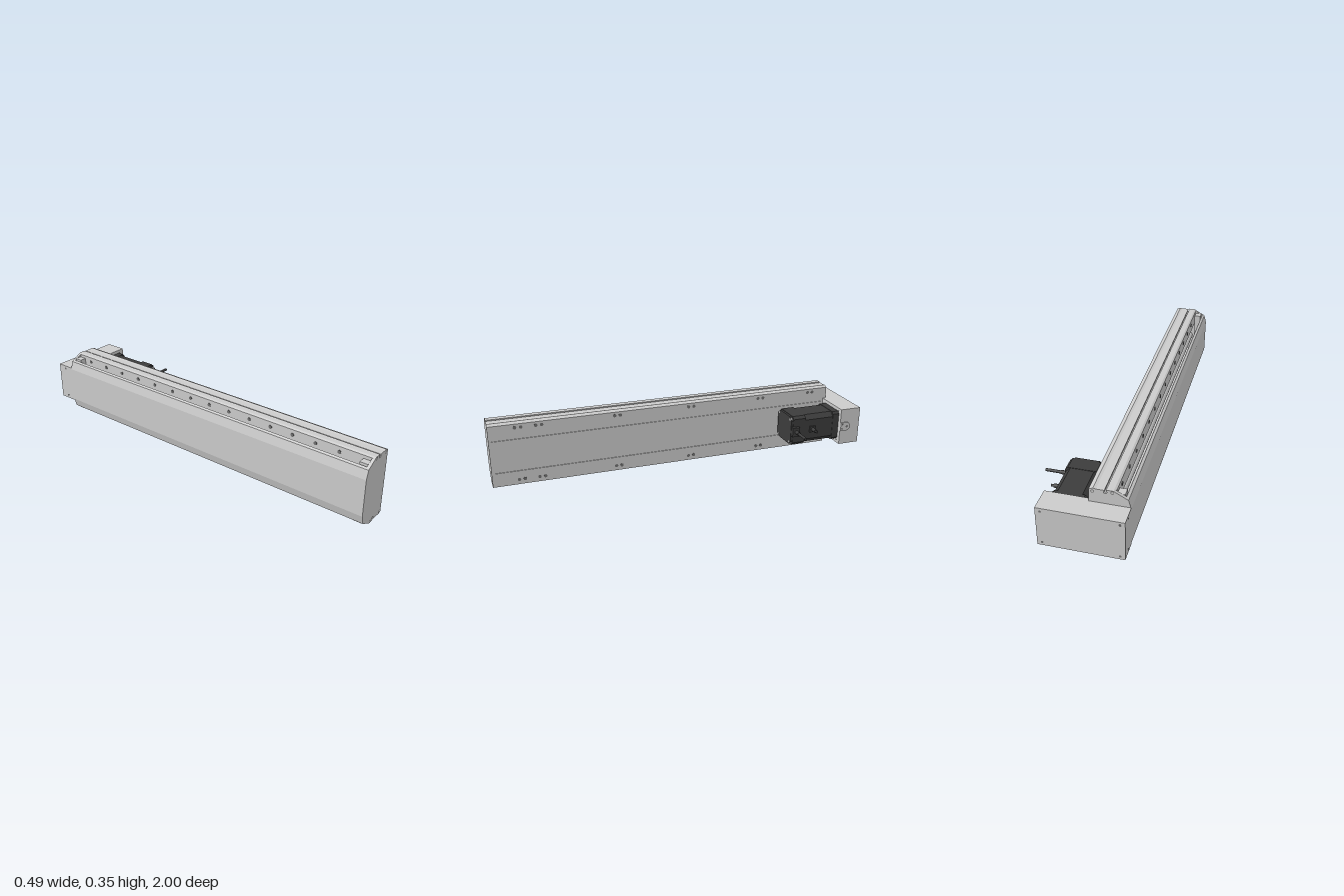
import * as THREE from 'three';

const H = 0.35; // profile height
const grey = new THREE.MeshStandardMaterial({ color: 0xcccccc });
const black = new THREE.MeshStandardMaterial({ color: 0x3c3c3c });
const bore = new THREE.MeshStandardMaterial({ color: 0x707070 });

export function createModel() {
  const model = new THREE.Group();

  const add = (name, geometry, material = grey) => {
    const mesh = new THREE.Mesh(geometry, material);
    mesh.name = name;
    model.add(mesh);
    return mesh;
  };
  // Box given by its minimum and maximum corners
  const box = (name, x0, x1, y0, y1, z0, z1, material) => {
    const m = add(name, new THREE.BoxGeometry(x1 - x0, y1 - y0, z1 - z0), material);
    m.position.set((x0 + x1) / 2, (y0 + y1) / 2, (z0 + z1) / 2);
    return m;
  };
  // Upper half outline plus its mirror image about mid height
  const mirrored = (half) => [...half, ...half.map(([x, y]) => [x, H - y]).reverse()];
  const outline = (pts) => new THREE.Shape(pts.map(([x, y]) => new THREE.Vector2(x, y)));
  const extrude = (name, shape, z0, z1, material) => {
    const g = new THREE.ExtrudeGeometry(shape, { depth: z1 - z0, bevelEnabled: false, curveSegments: 8 });
    g.translate(0, 0, z0);
    return add(name, g, material);
  };
  // Cylinder between two x values or two z values
  const rodX = (name, r, x0, x1, y, z, material, sides = 16) => {
    const m = add(name, new THREE.CylinderGeometry(r, r, x1 - x0, sides), material);
    m.rotation.z = Math.PI / 2;
    m.position.set((x0 + x1) / 2, y, z);
    return m;
  };
  const rodZ = (name, r, x, y, z0, z1, material, sides = 16) => {
    const m = add(name, new THREE.CylinderGeometry(r, r, z1 - z0, sides), material);
    m.rotation.x = Math.PI / 2;
    m.position.set(x, y, (z0 + z1) / 2);
    return m;
  };

  // Round sensor groove shared by the rail and its end caps
  const groove = [[-0.13, 0.347], [-0.13, 0.343], [-0.126, 0.338], [-0.128, 0.333], [-0.134, 0.331],
    [-0.14, 0.333], [-0.142, 0.338], [-0.138, 0.343], [-0.138, 0.35]];
  const shoulder = [[-0.06, 0.341], [-0.08, 0.35], [-0.092, 0.347]];

  // Channel rail, open towards -x
  extrude('railBody', outline(mirrored([
    [-0.06, 0.259], [-0.064, 0.259], [-0.064, 0.266], [-0.06, 0.266],
    ...shoulder, ...groove, [-0.17, 0.35], [-0.18, 0.345], [-0.18, 0.27], [-0.1, 0.27],
  ])), -0.885, 0.99);

  // Cover over the open side, leaving a slot above and below
  extrude('coverPlate', outline(mirrored([
    [-0.22, 0.318], [-0.223, 0.321], [-0.235, 0.315], [-0.247, 0.27],
  ].reverse())), -0.885, 0.99);

  // End caps with screw holes
  const capHoles = [[-0.165, 0.34], [-0.077, 0.333]];
  const capShape = () => outline(mirrored([
    ...shoulder, ...groove, [-0.17, 0.35], [-0.235, 0.315], [-0.247, 0.27],
  ]));
  for (const [z0, z1, outer, dir] of [[0.985, 1, 1, 1], [-0.9, -0.885, -0.9, -1]]) {
    extrude('endCap', capShape(), z0, z1);
    for (const [x, y] of capHoles) for (const yy of [y, H - y]) {
      const ring = add('capScrewRim', new THREE.RingGeometry(0.005, 0.0085, 16), bore);
      ring.position.set(x, yy, outer + dir * 0.0006);
      if (dir < 0) ring.rotation.y = Math.PI;
    }
  }

  // Stop blocks in the slot, ball screw behind the cover
  for (const [z0, z1] of [[-0.885, -0.845], [0.945, 0.985]])
    box('stopBlock', -0.217, -0.182, 0.02, 0.33, z0, z1);
  rodZ('ballScrew', 0.022, -0.145, H / 2, -0.885, 0.985);

  // Linear guide bolts along the slot walls
  for (let z = -0.8; z < 0.95; z += 0.125)
    for (const y of [0.318, H - 0.318]) rodX('guideBolt', 0.009, -0.183, -0.179, y, z, bore, 12);

  // Mounting holes on the flat face
  for (const z of [0.85, 0.745, 0.335, -0.075, -0.485, -0.795])
    for (const y of [0.322, 0.035]) {
      rodX('mountingHole', 0.009, -0.061, -0.0594, y, z + 0.015, bore);
      rodX('mountingHole', 0.009, -0.061, -0.0594, y, z - 0.015, bore);
    }

  // Belt housing joining rail and motor
  box('beltHousingRailSide', -0.247, -0.06, 0.073, 0.277, -1, -0.9);
  box('beltHousingMotorSide', -0.06, 0.148, 0.073, 0.277, -1, -0.882);
  for (const y of [0.09, 0.26]) {
    for (const x of [-0.225, 0.125]) rodZ('housingScrew', 0.006, x, y, -1.0006, -0.998, bore);
    rodZ('housingScrew', 0.004, 0.118, y, -0.883, -0.8814, bore);
    rodX('housingScrew', 0.006, -0.2476, -0.246, y, -0.95, bore);
  }

  // Rounded tension tab on the housing side
  rodX('tensionTab', 0.024, 0.147, 0.155, 0.177, -0.917, grey, 24);
  box('tensionTabBase', 0.147, 0.155, 0.153, 0.201, -0.917, -0.882);
  rodX('tabHole', 0.007, 0.154, 0.1556, 0.177, -0.92, bore);
  for (const y of [0.165, 0.189]) rodX('tabHole', 0.004, 0.154, 0.1556, y, -0.893, bore);

  // Motor: square stack with clipped corners and stepped sections
  const cx = 0.043, cy = 0.177;
  const clipped = (h, c) => {
    const r = h - c;
    return outline([[h, -r], [h, r], [r, h], [-r, h], [-h, r], [-h, -r], [-r, -h], [r, -h]]
      .map(([x, y]) => [x + cx, y + cy]));
  };
  extrude('motorFlange', clipped(0.082, 0.012), -0.882, -0.845, black);
  extrude('motorStack', clipped(0.08, 0.024), -0.845, -0.675, black);
  extrude('motorRearCap', clipped(0.082, 0.014), -0.675, -0.602, black);
  extrude('motorRearFace', clipped(0.079, 0.02), -0.602, -0.59, black);
  for (const sx of [-1, 1]) for (const sy of [-1, 1])
    rodZ('motorScrew', 0.0065, cx + sx * 0.0645, cy + sy * 0.065, -0.6, -0.5885, grey);

  // Cable outlets on the motor side
  box('motorConnector', 0.12, 0.142, 0.15, 0.202, -0.635, -0.592, black);
  rodX('cableBoot', 0.01, 0.14, 0.17, cy, -0.615, black);
  rodX('motorCable', 0.0075, 0.165, 0.245, cy, -0.615, black);
  box('brakeConnector', 0.12, 0.132, 0.16, 0.194, -0.738, -0.703, black);
  rodX('cableBoot', 0.01, 0.13, 0.165, cy, -0.72, black);
  rodX('brakeCable', 0.006, 0.16, 0.18, cy, -0.72, black);

  return model;
}
